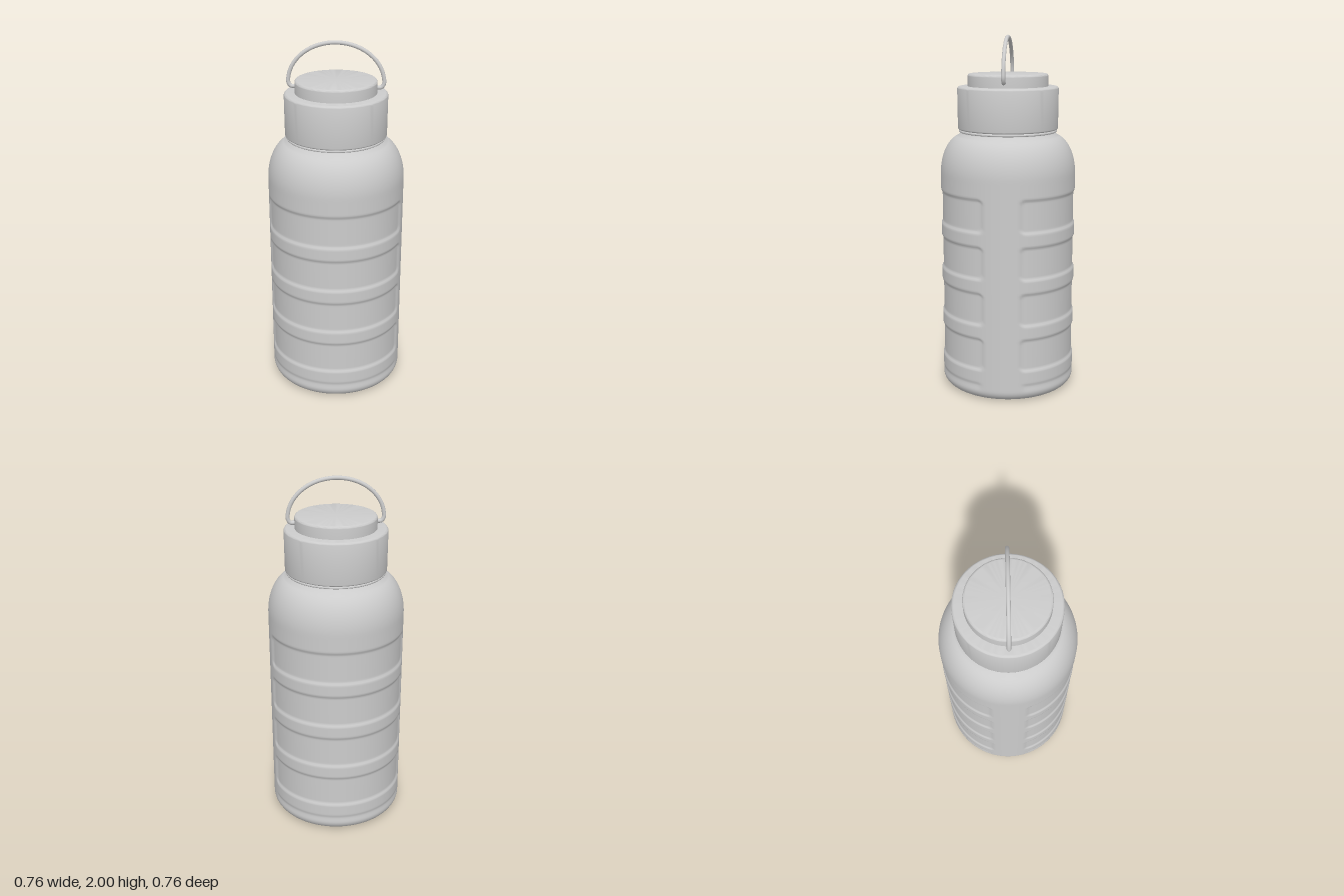
import * as THREE from 'three';
import { mergeVertices, toCreasedNormals } from 'three/addons/utils/BufferGeometryUtils.js';

const material = new THREE.MeshStandardMaterial({ color: 0xcccccc, roughness: 0.6 });

function addMesh(group, geometry, name) {
  const mesh = new THREE.Mesh(geometry, material);
  mesh.name = name;
  group.add(mesh);
}

// Points on a quarter ellipse between two angles given in degrees
function arc(cx, cy, rx, ry, from, to, steps) {
  const points = [];
  for (let i = 0; i <= steps; i++) {
    const a = THREE.MathUtils.degToRad(from + ((to - from) * i) / steps);
    points.push(new THREE.Vector2(cx + rx * Math.cos(a), cy + ry * Math.sin(a)));
  }
  return points;
}

// Depth of the pressed-in grip panels at arc length s from the panel centre
function gripDepth(s, y) {
  const halfWidth = 0.488, halfHeight = 0.092, corner = 0.03, depth = 0.008;
  let inset = 0;
  for (const centre of [0.27, 0.53, 0.79, 1.05]) {
    const dx = Math.abs(s) - halfWidth + corner;
    const dy = Math.abs(y - centre) - halfHeight + corner;
    const d = Math.hypot(Math.max(dx, 0), Math.max(dy, 0)) + Math.min(Math.max(dx, dy), 0) - corner;
    inset = Math.max(inset, depth * (1 - THREE.MathUtils.smoothstep(d, -0.012, 0.006)));
  }
  // Slight step below the lowest rib
  const below = 1 - THREE.MathUtils.smoothstep(y, 0.092, 0.106);
  const across = 1 - THREE.MathUtils.smoothstep(Math.abs(s), halfWidth - 0.04, halfWidth);
  const fade = THREE.MathUtils.smoothstep(y, 0.05, 0.09);
  return Math.max(inset, 0.004 * below * across * fade);
}

function bodyGeometry() {
  const R = 0.38;
  const profile = [new THREE.Vector2(0, 0), ...arc(R - 0.06, 0.06, 0.06, 0.06, -90, 0, 10)];
  for (let i = 0; i <= 145; i++) profile.push(new THREE.Vector2(R, 0.07 + i * 0.008));
  profile.push(...arc(0.25, 1.24, 0.13, 0.215, 2, 76, 18));
  profile.push(new THREE.Vector2(0.268, 1.462), new THREE.Vector2(0.262, 1.468), new THREE.Vector2(0.26, 1.5));
  const geometry = new THREE.LatheGeometry(profile, 200);
  const p = geometry.attributes.position;
  for (let i = 0; i < p.count; i++) {
    const x = p.getX(i), y = p.getY(i), z = p.getZ(i);
    const r = Math.hypot(x, z);
    if (r < 0.3 || y > 1.2) continue;
    const scale = 1 - gripDepth(Math.atan2(x, Math.abs(z)) * 0.375, y) / r;
    p.setXYZ(i, x * scale, y, z * scale);
  }
  // Weld the seam so that the wall shades smoothly all round
  geometry.deleteAttribute('normal');
  geometry.deleteAttribute('uv');
  const welded = mergeVertices(geometry, 1e-5);
  welded.computeVertexNormals();
  return welded;
}

function turned(points) {
  return toCreasedNormals(new THREE.LatheGeometry(points, 96), 0.6);
}

export function createModel() {
  const group = new THREE.Group();
  group.name = 'waterBottle';
  addMesh(group, bodyGeometry(), 'body');

  // Thin ring between shoulder and lid
  addMesh(group, turned([
    new THREE.Vector2(0.25, 1.466),
    ...arc(0.268, 1.474, 0.007, 0.007, -90, 90, 8),
    new THREE.Vector2(0.25, 1.485),
  ]), 'neckRing');

  // Screw lid with softened rims
  addMesh(group, turned([
    new THREE.Vector2(0.24, 1.482),
    ...arc(0.272, 1.491, 0.009, 0.009, -90, 0, 5),
    ...arc(0.267, 1.705, 0.016, 0.016, 0, 90, 6),
    new THREE.Vector2(0, 1.721),
  ]), 'lid');

  // Raised disc on the lid
  addMesh(group, turned([
    new THREE.Vector2(0.224, 1.71),
    ...arc(0.211, 1.777, 0.013, 0.013, 0, 90, 6),
    new THREE.Vector2(0, 1.79),
  ]), 'lidDisc');

  // Carry loop with ends turned into the disc
  const path = [new THREE.Vector3(0.205, 1.752, 0), new THREE.Vector3(0.245, 1.752, 0)];
  for (const q of arc(0, 1.775, 0.259, 0.214, 0, 180, 24)) path.push(new THREE.Vector3(q.x, q.y, 0));
  path.push(new THREE.Vector3(-0.245, 1.752, 0), new THREE.Vector3(-0.205, 1.752, 0));
  const curve = new THREE.CatmullRomCurve3(path, false, 'centripetal');
  addMesh(group, new THREE.TubeGeometry(curve, 140, 0.011, 14), 'carryLoop');

  return group;
}
